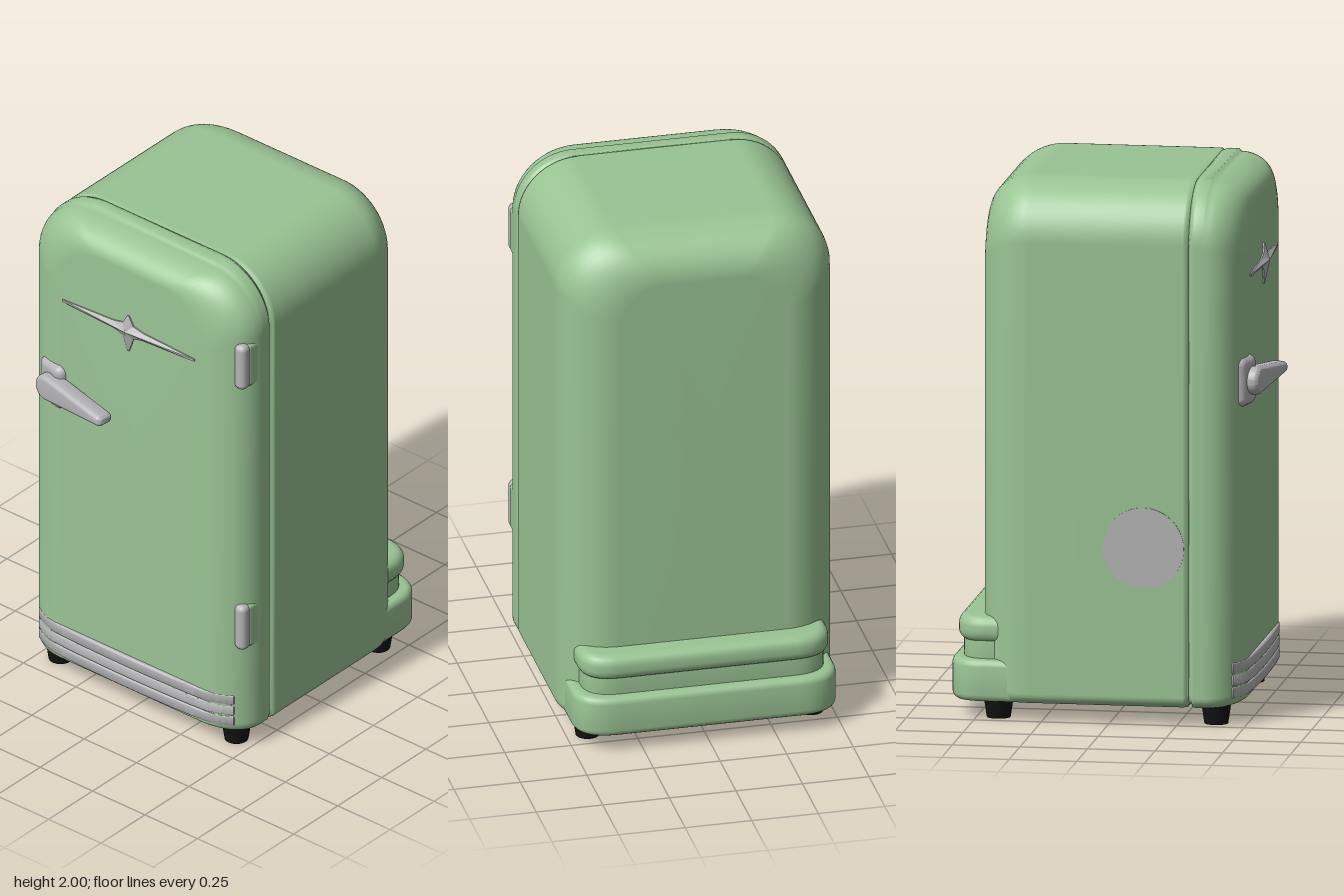
import * as THREE from 'three';
import { toCreasedNormals } from 'three/addons/utils/BufferGeometryUtils.js';
import { RoundedBoxGeometry } from 'three/addons/geometries/RoundedBoxGeometry.js';

const material = (name, color) => {
  const m = new THREE.MeshStandardMaterial({ color });
  m.name = name;
  return m;
};

// Arched outline, counter-clockwise seen from the front, inset at sides, top and bottom
function ring({ z, ix, it, ib }) {
  const w = 0.515 - ix, top = 2 - it, bottom = 0.065 + ib;
  const r = 0.22 - 0.3 * Math.min(it, 0.2), rb = 0.04;
  const half = [];
  for (let i = 0; i <= 5; i++) {
    const a = (i / 5) * Math.PI / 2;
    half.push([w - rb + rb * Math.sin(a), bottom + rb - rb * Math.cos(a)]);
  }
  for (const y of [0.6, 1.2]) half.push([w, y]);
  for (let i = 0; i <= 14; i++) {
    const a = (i / 14) * Math.PI / 2;
    half.push([w - r + r * Math.cos(a), top - r + r * Math.sin(a)]);
  }
  const mirrored = half.map(([x, y]) => [-x, y]).reverse();
  return [...half, ...mirrored].map(([x, y]) => [x, y, z]);
}

// Skin between successive rings with closed ends
function loft(sections) {
  const rings = sections.map(ring), n = rings[0].length, last = rings.length - 1;
  const pos = rings.flat(2), index = [];
  for (let k = 0; k < last; k++) {
    for (let j = 0; j < n; j++) {
      const a = k * n + j, b = k * n + (j + 1) % n;
      index.push(a, b, a + n, b, b + n, a + n);
    }
  }
  const back = pos.length / 3, front = back + 1;
  pos.push(0, 1, sections[0].z, 0, 1, sections[last].z);
  for (let j = 0; j < n; j++) {
    const next = (j + 1) % n;
    index.push(back, next, j, front, last * n + j, last * n + next);
  }
  const g = new THREE.BufferGeometry();
  g.setAttribute('position', new THREE.Float32BufferAttribute(pos, 3));
  g.setIndex(index);
  g.computeVertexNormals();
  return g;
}

// Horizontal slab from a plan drawn in x and z, with rounded edges
function slab(shape, y0, y1, bevel) {
  const g = new THREE.ExtrudeGeometry(shape, {
    depth: y1 - y0 - 2 * bevel, bevelThickness: bevel, bevelSize: bevel,
    bevelOffset: -bevel, bevelSegments: 4, curveSegments: 14,
  });
  g.rotateX(Math.PI / 2).translate(0, y1 - bevel, 0);
  return toCreasedNormals(g, 0.7);
}

// Plan of the rear housing: square inside the cabinet, rounded behind
function rearPlan(w, z, r) {
  const s = new THREE.Shape();
  s.moveTo(w, -0.3);
  s.lineTo(-w, -0.3);
  s.lineTo(-w, z + r);
  s.quadraticCurveTo(-w, z, -w + r * 1.2, z);
  s.lineTo(w - r * 1.2, z);
  s.quadraticCurveTo(w, z, w, z + r);
  return s;
}

export function createModel() {
  const green = material('green enamel', 0x9ac494);
  const chrome = material('chrome', 0xb4b4b6);
  const black = material('black rubber', 0x121212);
  const model = new THREE.Group();
  model.name = 'refrigerator';
  const add = (name, geometry, mat, x = 0, y = 0, z = 0) => {
    const mesh = new THREE.Mesh(geometry, mat);
    mesh.name = name;
    mesh.position.set(x, y, z);
    model.add(mesh);
    return mesh;
  };

  // Cabinet with a softly rounded back
  const cabinet = [];
  for (let i = 0; i <= 12; i++) {
    const a = (i / 12) * Math.PI / 2, d = 1 - Math.sin(a);
    cabinet.push({ z: -0.295 - 0.19 * Math.cos(a), ix: 0.2 * d, it: 0.17 * d, ib: 0 });
  }
  for (const [z, i] of [[0.275, 0], [0.288, 0.002], [0.293, 0.014], [0.302, 0.014]]) {
    cabinet.push({ z, ix: i, it: i * 0.2, ib: i });
  }
  add('cabinet', loft(cabinet), green);

  // Door with a lip on top and a rounded front
  const door = [];
  for (const [z, i] of [[0.295, 0.014], [0.302, 0.012], [0.308, 0.002], [0.315, 0], [0.348, 0]]) {
    door.push({ z, ix: i, it: i * 0.2, ib: i });
  }
  for (let i = 0; i <= 12; i++) {
    const a = (i / 12) * Math.PI / 2, d = 1 - Math.cos(a);
    door.push({ z: 0.354 + 0.139 * Math.sin(a), ix: 0.18 * d, it: 0.01 + 0.09 * d, ib: 0.03 * d });
  }
  add('door', loft(door), green);

  // Rear compressor housing: base, neck and upper lip
  add('rearHousingBase', slab(rearPlan(0.495, -0.6, 0.13), 0.065, 0.22, 0.025), green);
  add('rearHousingNeck', slab(rearPlan(0.455, -0.56, 0.11), 0.19, 0.33, 0.01), green);
  add('rearHousingLip', slab(rearPlan(0.47, -0.578, 0.12), 0.28, 0.375, 0.035), green);

  // Hinges with their mounts
  for (const y of [0.535, 1.665]) {
    add('hingeMount', new RoundedBoxGeometry(0.05, 0.18, 0.1, 3, 0.015), green, 0.488, y, 0.375);
    add('hinge', new RoundedBoxGeometry(0.052, 0.19, 0.05, 4, 0.022), chrome, 0.487, y, 0.432);
  }

  // Kick plate of three curved bars
  const plan = new THREE.Shape();
  plan.moveTo(0.46, 0.4);
  plan.lineTo(0.465, 0.455);
  plan.splineThru([[0.4, 0.485], [0.3, 0.501], [0, 0.508], [-0.3, 0.501], [-0.4, 0.485], [-0.465, 0.455]]
    .map(([x, z]) => new THREE.Vector2(x, z)));
  plan.lineTo(-0.46, 0.4);
  for (let i = 0; i < 3; i++) {
    const y = 0.1 + i * 0.045;
    add('kickPlateBar', slab(plan, y, y + 0.045, 0.008), chrome);
  }

  // Door handle: backplate and tapered lever
  const backplate = add('handleBackplate', new RoundedBoxGeometry(0.135, 0.185, 0.07, 4, 0.032), chrome, -0.368, 1.267, 0.473);
  backplate.rotation.y = -0.25;
  const lever = new THREE.Shape();
  lever.absarc(0, 0, 0.052, Math.PI / 2, Math.PI * 1.5, false);
  lever.lineTo(0.29, -0.024);
  lever.absarc(0.29, -0.002, 0.022, -Math.PI / 2, Math.PI / 2, false);
  lever.closePath();
  const leverGeometry = new THREE.ExtrudeGeometry(lever, {
    depth: 0.03, bevelThickness: 0.02, bevelSize: 0.018, bevelOffset: -0.018, bevelSegments: 5,
  });
  const handle = add('handleLever', toCreasedNormals(leverGeometry, 0.8), chrome, -0.36, 1.268, 0.497);
  handle.rotation.y = -0.16;

  // Four-pointed star trim with long side spikes
  const star = [[0.315, 0.003], [0.07, 0.015], [0.025, 0.025], [0.004, 0.062], [-0.004, 0.062],
    [-0.025, 0.025], [-0.07, 0.015], [-0.315, 0.003], [-0.315, -0.006], [-0.07, -0.017],
    [-0.025, -0.03], [-0.004, -0.09], [0.004, -0.09], [0.025, -0.03], [0.07, -0.017], [0.315, -0.006]];
  const faces = [];
  star.forEach(([x, y], i) => {
    const [u, v] = star[(i + 1) % star.length];
    faces.push(0, 0, 0.03, x, y, 0.01, u, v, 0.01);
    faces.push(x, y, 0.01, x, y, -0.02, u, v, -0.02, x, y, 0.01, u, v, -0.02, u, v, 0.01);
  });
  const starGeometry = new THREE.BufferGeometry();
  starGeometry.setAttribute('position', new THREE.Float32BufferAttribute(faces, 3));
  starGeometry.computeVertexNormals();
  add('starTrim', starGeometry, chrome, -0.003, 1.65, 0.488);

  // Round plate on the side opposite the hinges
  const plate = add('sidePlate', new THREE.CylinderGeometry(0.15, 0.15, 0.006, 40), chrome, -0.515, 0.66, 0.13);
  plate.rotation.z = Math.PI / 2;

  // Feet
  for (const x of [-0.42, 0.42]) {
    for (const z of [-0.42, 0.385]) {
      add('foot', new THREE.CylinderGeometry(0.056, 0.044, 0.08, 20), black, x, 0.04, z);
    }
  }
  return model;
}
